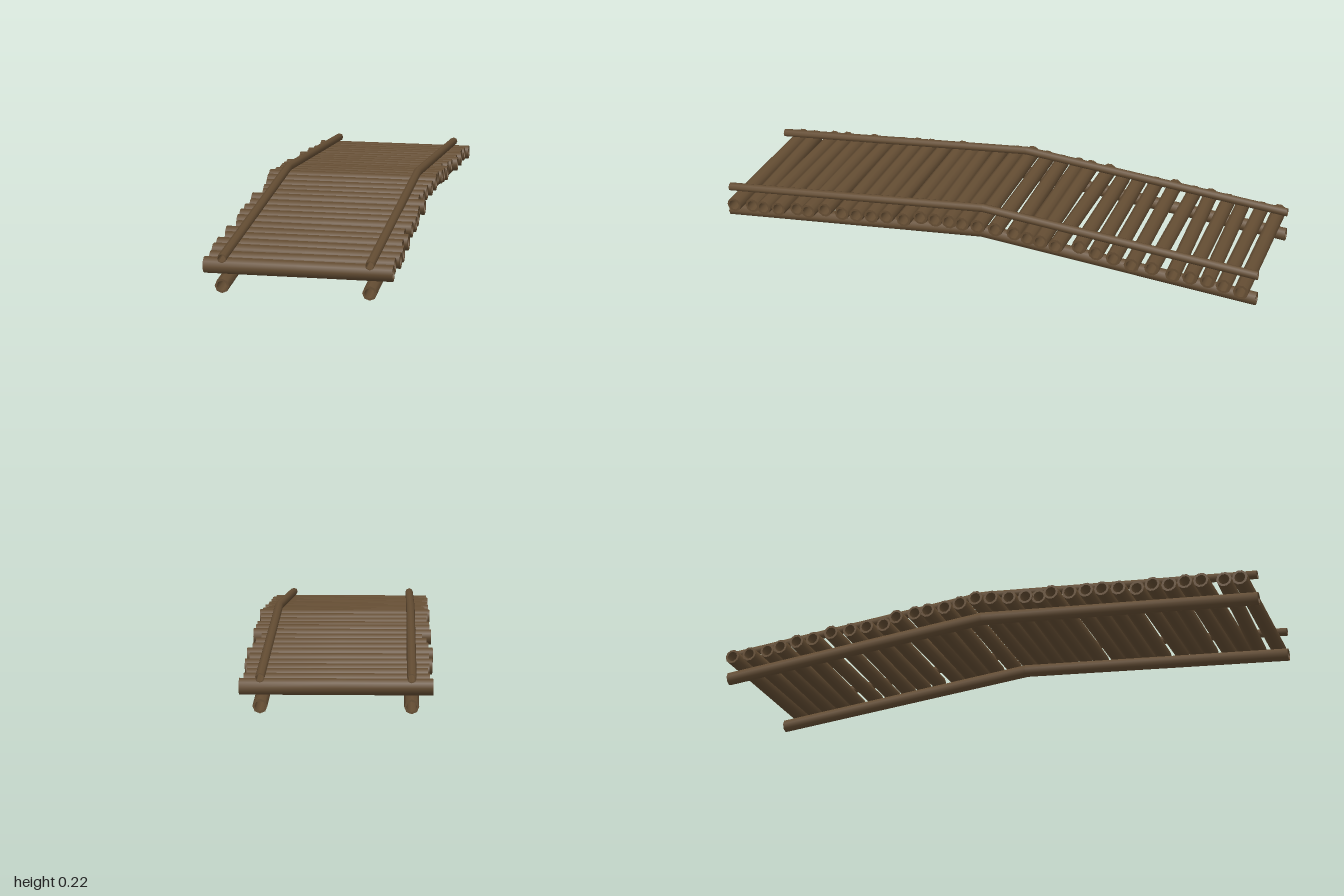
import * as THREE from 'three';
import { toCreasedNormals } from 'three/addons/utils/BufferGeometryUtils.js';

const RISE = 0.086; // height gained from the bridge ends to the middle

// Hollow pole along y: outer wall, flat end rings and inner wall
function hollowPole(radius, bore, half, sides) {
  const p = (r, y) => new THREE.Vector2(r, y);
  return new THREE.LatheGeometry([
    p(radius, -half), p(radius, 0), p(radius, half),
    p(bore, half), p(bore, 0), p(bore, -half), p(radius, -half),
  ], sides);
}

// Long pole along z, bent upwards at the middle
function bentPole(radius, bore, endHeight) {
  const geo = hollowPole(radius, bore, 1, 8).rotateX(Math.PI / 2);
  const pos = geo.attributes.position;
  for (let i = 0; i < pos.count; i++) {
    pos.setY(i, pos.getY(i) + endHeight + RISE * (1 - Math.abs(pos.getZ(i))));
  }
  return toCreasedNormals(geo, 0.9);
}

// Deck logs, back to front: z position, half length, yaw
const LOGS = [
  [-0.957, 0.31, 0], [-0.894, 0.3, 0], [-0.83, 0.294, 0.02], [-0.772, 0.3, 0.01],
  [-0.708, 0.31, 0.03], [-0.639, 0.3, 0], [-0.565, 0.314, 0.015], [-0.496, 0.3, 0.015],
  [-0.432, 0.294, 0.01], [-0.369, 0.279, 0], [-0.3, 0.312, -0.02], [-0.236, 0.308, 0],
  [-0.188, 0.306, 0], [-0.13, 0.298, 0.015], [-0.066, 0.302, 0], [-0.003, 0.31, 0],
  [0.056, 0.304, -0.01], [0.114, 0.294, 0.01], [0.172, 0.29, 0.02], [0.225, 0.282, 0],
  [0.279, 0.31, 0], [0.347, 0.3, -0.01], [0.406, 0.306, 0], [0.464, 0.308, 0],
  [0.523, 0.304, 0], [0.591, 0.29, -0.02], [0.65, 0.312, -0.01], [0.703, 0.3, 0],
  [0.767, 0.314, -0.015], [0.825, 0.314, -0.02], [0.889, 0.304, 0.025], [0.953, 0.31, 0],
];

export function createModel() {
  const wood = new THREE.MeshStandardMaterial({ color: 0x644d33 });
  wood.name = 'brown wood';
  const model = new THREE.Group();
  model.name = 'logBridge';

  // Support beams below the deck and thin rails above it
  const beamGeo = bentPole(0.024, 0.017, 0.024);
  const railGeo = bentPole(0.0155, 0.0125, 0.115);
  for (const [side, name] of [[1, 'left'], [-1, 'right']]) {
    const beam = new THREE.Mesh(beamGeo, wood);
    beam.name = name + 'Beam';
    const rail = new THREE.Mesh(railGeo, wood);
    rail.name = name + 'Rail';
    beam.position.x = rail.position.x = side * 0.241;
    model.add(beam, rail);
  }

  // Deck of slightly uneven cross logs
  const deck = new THREE.Group();
  deck.name = 'deck';
  LOGS.forEach(([z, half, yaw], i) => {
    const geo = hollowPole(0.027, 0.019, half, 10).rotateZ(Math.PI / 2);
    const log = new THREE.Mesh(toCreasedNormals(geo, 0.9), wood);
    log.name = 'deckLog' + (i + 1);
    log.position.set(0, 0.076 + RISE * (1 - Math.abs(z)), z);
    log.rotation.y = yaw;
    deck.add(log);
  });
  model.add(deck);
  return model;
}
